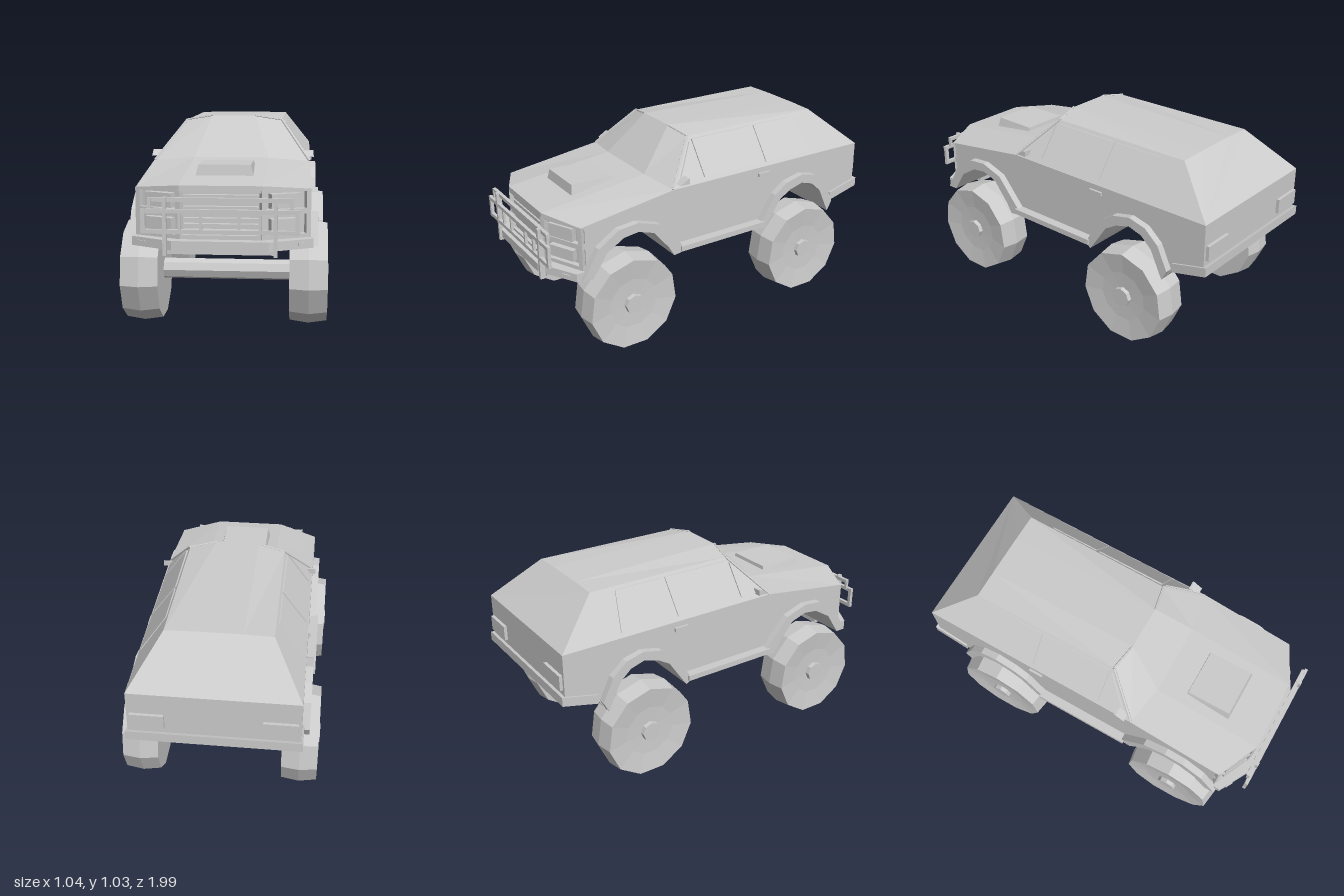
import * as THREE from 'three';

const mat = new THREE.MeshStandardMaterial({ color: 0xcccccc, flatShading: true, side: THREE.DoubleSide });

export function createModel() {
  const model = new THREE.Group();
  const add = (name, geo) => {
    const m = new THREE.Mesh(geo, mat);
    m.name = name;
    model.add(m);
    return m;
  };
  const toShape = (pts) => new THREE.Shape(pts.map(([a, b]) => new THREE.Vector2(a, b)));
  // side outline of [z, y] points, extruded from x0 to x1
  const side = (pts, x0, x1) =>
    new THREE.ExtrudeGeometry(toShape(pts), { depth: x1 - x0, bevelEnabled: false })
      .rotateY(-Math.PI / 2).translate(x1, 0, 0);
  // plan outline of [x, z] points, extruded from y0 to y1
  const plan = (pts, y0, y1) =>
    new THREE.ExtrudeGeometry(toShape(pts.map(([x, z]) => [x, -z])), { depth: y1 - y0, bevelEnabled: false })
      .rotateX(-Math.PI / 2).translate(0, y0, 0);
  const box = (name, w, h, d, x, y, z, ry = 0) => {
    const m = add(name, new THREE.BoxGeometry(w, h, d));
    m.position.set(x, y, z);
    m.rotation.y = ry;
    return m;
  };
  // flat polygons, corners counter-clockwise from outside
  const faces = (polys) => {
    const p = [];
    for (const f of polys)
      for (let i = 1; i < f.length - 1; i++) p.push(...f[0], ...f[i], ...f[i + 1]);
    const g = new THREE.BufferGeometry();
    g.setAttribute('position', new THREE.Float32BufferAttribute(p, 3));
    g.computeVertexNormals();
    return g;
  };
  const mir = ([x, y, z]) => [-x, y, z];
  const rod = (name, a, b, r) => {
    const A = new THREE.Vector3(...a), B = new THREE.Vector3(...b);
    const m = add(name, new THREE.CylinderGeometry(r, r, A.distanceTo(B), 6));
    m.position.copy(A).lerp(B, 0.5);
    m.quaternion.setFromUnitVectors(new THREE.Vector3(0, 1, 0), B.sub(A).normalize());
  };

  // lower body with open wheel arches
  const archF = [[0.79, 0.45], [0.71, 0.57], [0.61, 0.63], [0.525, 0.64], [0.434, 0.61], [0.343, 0.5], [0.31, 0.445]];
  const archR = [[-0.29, 0.44], [-0.316, 0.477], [-0.396, 0.595], [-0.466, 0.637], [-0.55, 0.66], [-0.627, 0.637], [-0.69, 0.58], [-0.76, 0.434]];
  const flareF = [[0.85, 0.45], [0.755, 0.605], [0.637, 0.68], [0.525, 0.69], [0.396, 0.648], [0.246, 0.477], [0.246, 0.455]];
  const flareR = [[-0.262, 0.455], [-0.262, 0.477], [-0.36, 0.63], [-0.44, 0.685], [-0.55, 0.71], [-0.65, 0.685], [-0.73, 0.616], [-0.79, 0.49]];
  add('body', side([[0.81, 0.45], ...archF, ...archR, [-0.8, 0.49], [-0.98, 0.55], [-0.98, 0.8],
    [0.29, 0.8], [0.81, 0.728]], -0.425, 0.425));

  // hood with a slight crown
  const hf = [0.425, 0.725, 0.83], hfc = [0.2, 0.748, 0.935];
  const wb = [0.42, 0.8, 0.29], wbc = [0.2, 0.82, 0.33];
  add('hood', faces([
    [mir(hfc), hfc, wbc, mir(wbc)],
    [hfc, hf, wb, wbc], [mir(hf), mir(hfc), mir(wbc), mir(wb)],
  ]));

  // cabin: windscreen, sides, roof and tailgate glass
  const rf = [0.265, 1.01, 0.1], rfc = [0.12, 1.035, 0.13];
  const rr = [0.27, 1.01, -0.736], rrc = [0.12, 1.014, -0.736], tb = [0.425, 0.8, -0.98];
  const halfSides = [[wbc, wb, rf, rfc], [wb, tb, rr, rf], [rfc, rf, rr, rrc]];
  add('cabin', faces([
    [mir(wbc), wbc, rfc, mir(rfc)],
    [mir(rfc), rfc, rrc, mir(rrc)],
    [tb, mir(tb), mir(rr), mir(rrc), rrc, rr],
    ...halfSides, ...halfSides.map((f) => f.map(mir).reverse()),
  ]));

  // hood scoop
  const s = [[0.145, 0.765, 0.735], [0.13, 0.825, 0.725], [0.13, 0.822, 0.48], [0.14, 0.79, 0.475]];
  add('hoodScoop', faces([
    [mir(s[0]), s[0], s[1], mir(s[1])], [mir(s[1]), s[1], s[2], mir(s[2])],
    [s[0], s[3], s[2], s[1]], [s[0], s[3], s[2], s[1]].map(mir).reverse(),
    [s[3], mir(s[3]), mir(s[2]), s[2]],
  ]));

  // nose: recessed core with wrap-around rails
  const wrap = (x, z, xc, zc, back) => [[-x, back], [-x, z], [-xc, zc], [xc, zc], [x, z], [x, back]];
  add('noseCore', plan(wrap(0.41, 0.81, 0.19, 0.89, 0.79), 0.45, 0.725));
  for (const [y0, y1] of [[0.715, 0.745], [0.605, 0.632], [0.45, 0.51]])
    add('noseRail', plan(wrap(y1 > 0.73 ? 0.422 : 0.425, 0.83, 0.2, 0.935, 0.8), y0, y1 > 0.73 ? 0.727 : y1));
  add('noseLip', faces([
    [[-0.2, 0.715, 0.935], [0.2, 0.715, 0.935], hfc, mir(hfc)],
    [[0.2, 0.715, 0.935], [0.425, 0.715, 0.83], hf, hfc],
    [[-0.425, 0.715, 0.83], [-0.2, 0.715, 0.935], mir(hfc), mir(hf)],
  ]));
  for (let i = 0; i < 7; i++) box('grilleSlat', 0.36, 0.018, 0.03, 0, 0.525 + i * 0.028, 0.905);

  // front bumper and lower guard
  add('frontBumper', plan(wrap(0.44, 0.87, 0.23, 0.985, 0.8), 0.445, 0.49));
  add('bumperGuard', plan([[-0.26, 0.8], [-0.26, 0.95], [0.26, 0.95], [0.26, 0.8]], 0.42, 0.45));

  // bull bar
  for (const [y, w, z] of [[0.685, 0.68, 0.965], [0.632, 0.75, 0.98], [0.535, 0.75, 0.98]])
    box('bullBarRail', w, 0.02, 0.018, 0, y, z);
  for (const x of [-0.19, -0.09, 0.09, 0.19]) box('bullBarUpright', 0.014, 0.1, 0.014, x, 0.583, 0.98);

  // rear bumper, a tilted slab
  add('rearBumper', side([[-0.8, 0.48], [-0.8, 0.53], [-1, 0.58], [-1, 0.53]], -0.435, 0.435));

  // cabin side plane, used to seat the windows
  const windows = [
    [[0.24, 0.825], [0.105, 0.825], [0.105, 0.985]],
    [[0.085, 0.82], [0.085, 0.995], [-0.305, 0.995], [-0.305, 0.82]],
    [[-0.325, 0.82], [-0.325, 0.995], [-0.6, 0.995], [-0.645, 0.82]],
  ];

  for (const k of [-1, 1]) {
    const both = (pts, a, b) => side(pts, Math.min(k * a, k * b), Math.max(k * a, k * b));

    add('frontFlare', both([...flareF, ...[...archF].reverse()], 0.41, 0.463));
    add('rearFlare', both([...flareR, ...[...archR].reverse()], 0.41, 0.463));
    box('sill', 0.06, 0.03, 0.55, k * 0.445, 0.475, -0.005);
    box('doorHandle', 0.015, 0.02, 0.08, k * 0.43, 0.76, -0.3);
    box('tailLight', 0.17, 0.08, 0.03, k * 0.325, 0.645, -0.982);

    for (const w of windows) {
      const g = both(w, 0, 0.012);
      const p = g.attributes.position;
      for (let i = 0; i < p.count; i++)
        p.setX(i, p.getX(i) + k * (0.417 - (p.getY(i) - 0.8) * 0.738));
      g.computeVertexNormals();
      add('sideWindow', g);
    }
    const m = (v) => [k * v[0], v[1], v[2]];
    rod('windscreenPillar', m(wb), m(rf), 0.008);
    rod('windscreenHeader', m(rf), m(rfc), 0.006);

    // mirror with a slanted back
    add('mirror', both([[0.2, 0.82], [0.26, 0.82], [0.21, 0.85], [0.2, 0.85]], 0.39, 0.443));

    // lamps along the angled nose corners
    const a = k * 0.44;
    box('headlight', 0.15, 0.07, 0.04, k * 0.3, 0.672, 0.868, a);
    box('lowerLamp', 0.15, 0.06, 0.04, k * 0.3, 0.557, 0.868, a);
    for (const [x, z] of [[0.2, 0.92], [0.41, 0.82]]) box('nosePost', 0.024, 0.25, 0.03, k * x, 0.6, z, a);
    box('bumperLamp', 0.045, 0.014, 0.012, k * 0.385, 0.468, 0.9, k * 0.5);
    box('bullBarPost', 0.018, 0.28, 0.03, k * 0.262, 0.558, 0.975);
    box('bullBarEnd', 0.02, 0.115, 0.018, k * 0.363, 0.585, 0.98);
    box('bullBarTopEnd', 0.015, 0.06, 0.016, k * 0.335, 0.665, 0.968);
  }

  // wheels and axles
  const tyre = [[0, -0.095], [0.252, -0.095], [0.266, 0], [0.252, 0.093], [0.14, 0.08], [0, 0.076]]
    .map(([r, h]) => new THREE.Vector2(r, h));
  for (const z of [0.585, -0.545]) {
    for (const k of [-1, 1]) {
      const wheel = new THREE.Group();
      wheel.name = 'wheel';
      const tyreGeo = new THREE.LatheGeometry(tyre, 11);
      const hubGeo = new THREE.CylinderGeometry(0.052, 0.055, 0.04, 8).translate(0, 0.08, 0);
      [['tyre', tyreGeo], ['hub', hubGeo]].forEach(([name, g]) => {
        const part = new THREE.Mesh(g.rotateZ(-k * Math.PI / 2).rotateX(-Math.PI / 2), mat);
        part.name = name;
        wheel.add(part);
      });
      wheel.position.set(k * 0.42, 0.265, z);
      model.add(wheel);
    }
    const axle = add('axle', new THREE.CylinderGeometry(0.053, 0.053, 0.7, 8).rotateZ(Math.PI / 2));
    axle.position.set(0, 0.267, z);
  }
  return model;
}
